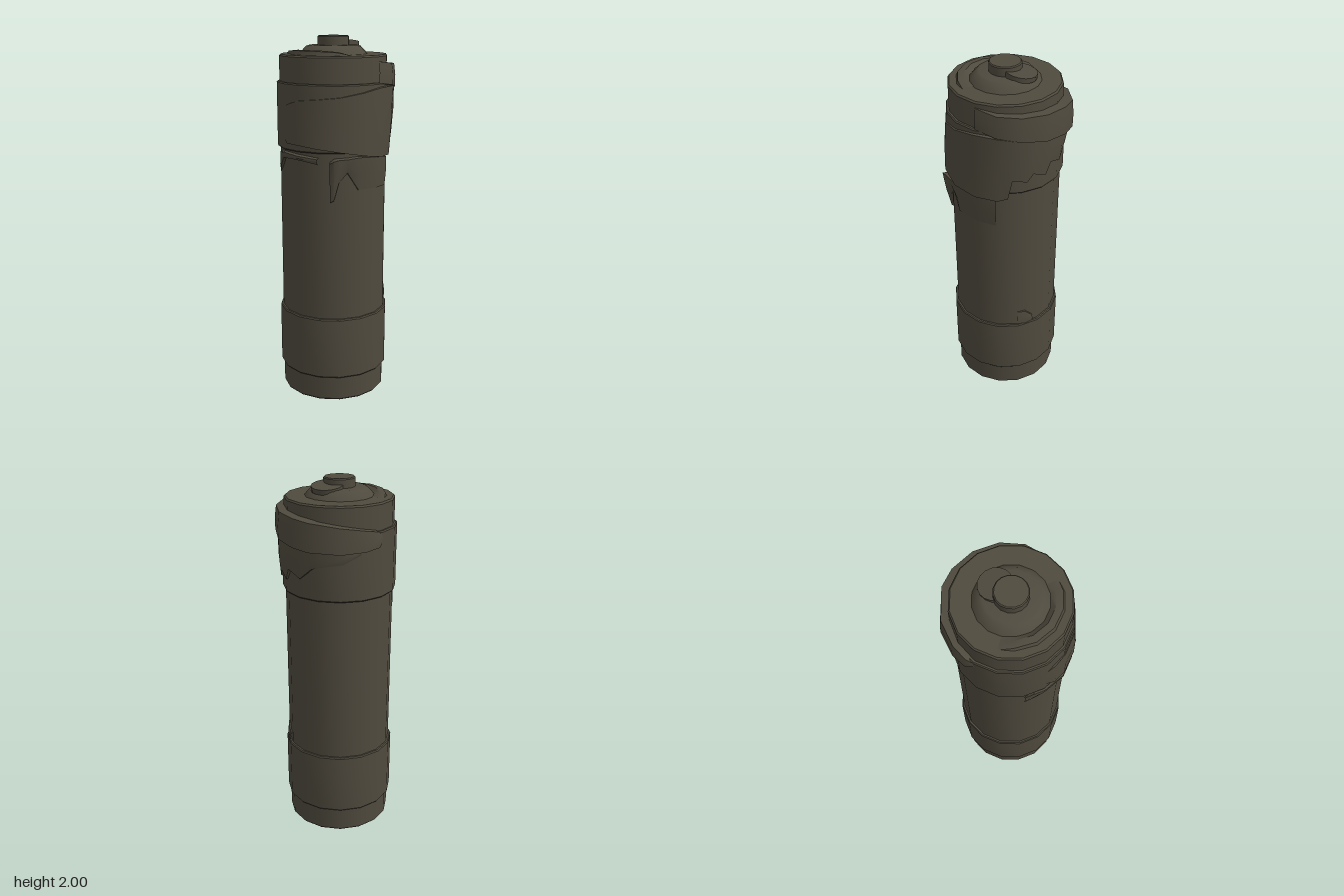
import * as THREE from 'three';
import { toCreasedNormals } from 'three/addons/utils/BufferGeometryUtils.js';

const SIDES = 16;
const BODY_R = 0.277;

export function createModel() {
  const model = new THREE.Group();
  model.name = 'wrappedCell';
  const olive = new THREE.MeshStandardMaterial({ color: 0x4f4a3e, side: THREE.DoubleSide });
  olive.name = 'drabOlive';

  function add(name, geometry, crease = 0.6) {
    const mesh = new THREE.Mesh(toCreasedNormals(geometry, crease), olive);
    mesh.name = name;
    model.add(mesh);
    return mesh;
  }

  function lathe(name, profile) {
    return add(name, new THREE.LatheGeometry(profile.map(([r, y]) => new THREE.Vector2(r, y)), SIDES));
  }

  // Skin swept around the axis; each station is [degrees from front, [[radius, y], ... top to bottom]]
  function sweep(name, stations, crease = 0.7) {
    const pos = [], index = [], n = stations[0][1].length;
    stations.forEach(([deg, section], i) => {
      const a = THREE.MathUtils.degToRad(deg);
      section.forEach(([r, y], j) => {
        pos.push(Math.sin(a) * r, y, Math.cos(a) * r);
        if (i && j) {
          const d = i * n + j, c = d - 1, b = d - n, e = b - 1;
          index.push(e, b, c, b, d, c);
        }
      });
    });
    const geo = new THREE.BufferGeometry();
    geo.setAttribute('position', new THREE.Float32BufferAttribute(pos, 3));
    geo.setIndex(index);
    return add(name, geo, crease);
  }

  // Cloth strip with turned-in edges; rows are [degrees, top, bottom, top radius, bottom radius]
  const strip = (name, rows) => sweep(name, rows.map(([deg, top, bottom, rt, rb]) => [deg, [
    [BODY_R - 0.01, top], [rt, top - 0.005], [(rt + rb) / 2 + 0.004, (top + bottom) / 2],
    [rb, bottom + 0.005], [BODY_R - 0.01, bottom],
  ]]));

  // Main cylinder with slightly bevelled rims
  lathe('body', [[0, 0.1], [0.27, 0.1], [BODY_R, 0.108], [BODY_R, 1.902], [0.27, 1.91], [0, 1.91]]);

  // End caps with contact buttons
  lathe('topCap', [[0.178, 1.905], [0.165, 1.922], [0.14, 1.948], [0.125, 1.953], [0, 1.953]]);
  lathe('topButton', [[0.08, 1.94], [0.08, 1.995], [0.075, 2], [0, 2]]);
  lathe('bottomCap', [[0, 0.055], [0.135, 0.055], [0.15, 0.062], [0.178, 0.105]]);
  lathe('bottomButton', [[0, 0], [0.075, 0], [0.08, 0.005], [0.08, 0.07]]);

  // Tilted disc tucked beside the top button
  const disc = add('looseDisc', new THREE.CylinderGeometry(0.08, 0.08, 0.025, SIDES));
  disc.position.set(0.034, 1.957, -0.076);
  disc.rotation.x = -0.16;

  // Raised crescent on the top face
  sweep('topCrescent', [-92, -75, -50, -25, 0, 22, 38].map((deg, i) => {
    const h = [0, 0.014, 0.02, 0.022, 0.02, 0.014, 0][i];
    return [deg, [[0.17, 1.912], [0.195, 1.912 + h], [0.228, 1.911 + h * 0.9], [0.236, 1.908]]];
  }));

  // Two sleeves around the cylinder
  for (const [name, y0, y1] of [['lowerBand', 0.235, 0.568], ['upperBand', 1.442, 1.777]]) {
    lathe(name, [[0.27, y0], [0.286, y0], [0.291, y0 + 0.006], [0.291, y1 - 0.006], [0.286, y1], [0.27, y1]]);
  }

  // Slanted strip around the back, near the top
  strip('upperWrap', [
    [68, 1.885, 1.77, 0.280, 0.286],
    [90, 1.872, 1.755, 0.304, 0.312],
    [112, 1.865, 1.735, 0.315, 0.322],
    [135, 1.858, 1.715, 0.320, 0.328],
    [157, 1.85, 1.70, 0.324, 0.330],
    [174, 1.84, 1.69, 0.326, 0.332],
    [202, 1.82, 1.685, 0.315, 0.325],
    [225, 1.80, 1.69, 0.305, 0.315],
    [240, 1.785, 1.70, 0.300, 0.308],
    [248, 1.76, 1.72, 0.286, 0.288],
  ]);

  // Bulging cloth over the upper sleeve, jagged along the back
  strip('middleWrap', [
    [-45, 1.66, 1.50, 0.288, 0.288],
    [-35, 1.68, 1.476, 0.294, 0.303],
    [-22, 1.70, 1.474, 0.295, 0.306],
    [0, 1.71, 1.462, 0.296, 0.309],
    [22, 1.72, 1.446, 0.297, 0.310],
    [45, 1.74, 1.425, 0.300, 0.312],
    [68, 1.76, 1.405, 0.305, 0.302],
    [90, 1.76, 1.398, 0.310, 0.296],
    [100, 1.755, 1.41, 0.311, 0.290],
    [104, 1.75, 1.52, 0.311, 0.302],
    [118, 1.74, 1.50, 0.311, 0.299],
    [124, 1.74, 1.54, 0.311, 0.300],
    [138, 1.72, 1.51, 0.310, 0.298],
    [144, 1.72, 1.57, 0.309, 0.300],
    [160, 1.71, 1.54, 0.307, 0.296],
    [174, 1.70, 1.60, 0.306, 0.298],
    [205, 1.70, 1.63, 0.300, 0.294],
    [222, 1.70, 1.67, 0.288, 0.288],
  ]);

  // Torn cloth hanging below the upper sleeve
  strip('leftTornFlap', [
    [-64, 1.385, 1.315, 0.279, 0.279],
    [-55, 1.43, 1.35, 0.288, 0.284],
    [-45, 1.435, 1.395, 0.296, 0.292],
    [-22, 1.43, 1.40, 0.304, 0.300],
    [0, 1.42, 1.385, 0.303, 0.300],
  ]);
  strip('frontTornFlap', [
    [12, 1.40, 1.19, 0.312, 0.280],
    [16, 1.415, 1.20, 0.322, 0.283],
    [21, 1.42, 1.29, 0.312, 0.284],
    [30, 1.42, 1.34, 0.300, 0.282],
    [42, 1.425, 1.25, 0.296, 0.281],
    [68, 1.415, 1.245, 0.290, 0.280],
    [88, 1.40, 1.24, 0.284, 0.279],
  ]);

  // Small scraps along the lower sleeve
  strip('lowerScrap', [
    [111, 0.66, 0.56, 0.279, 0.280],
    [120, 0.655, 0.56, 0.282, 0.284],
    [129, 0.61, 0.56, 0.279, 0.280],
  ]);

  // The cell sits slightly off centre because of the uneven wrapping
  model.children.forEach((part) => part.position.add(new THREE.Vector3(-0.012, 0, 0.012)));
  return model;
}
